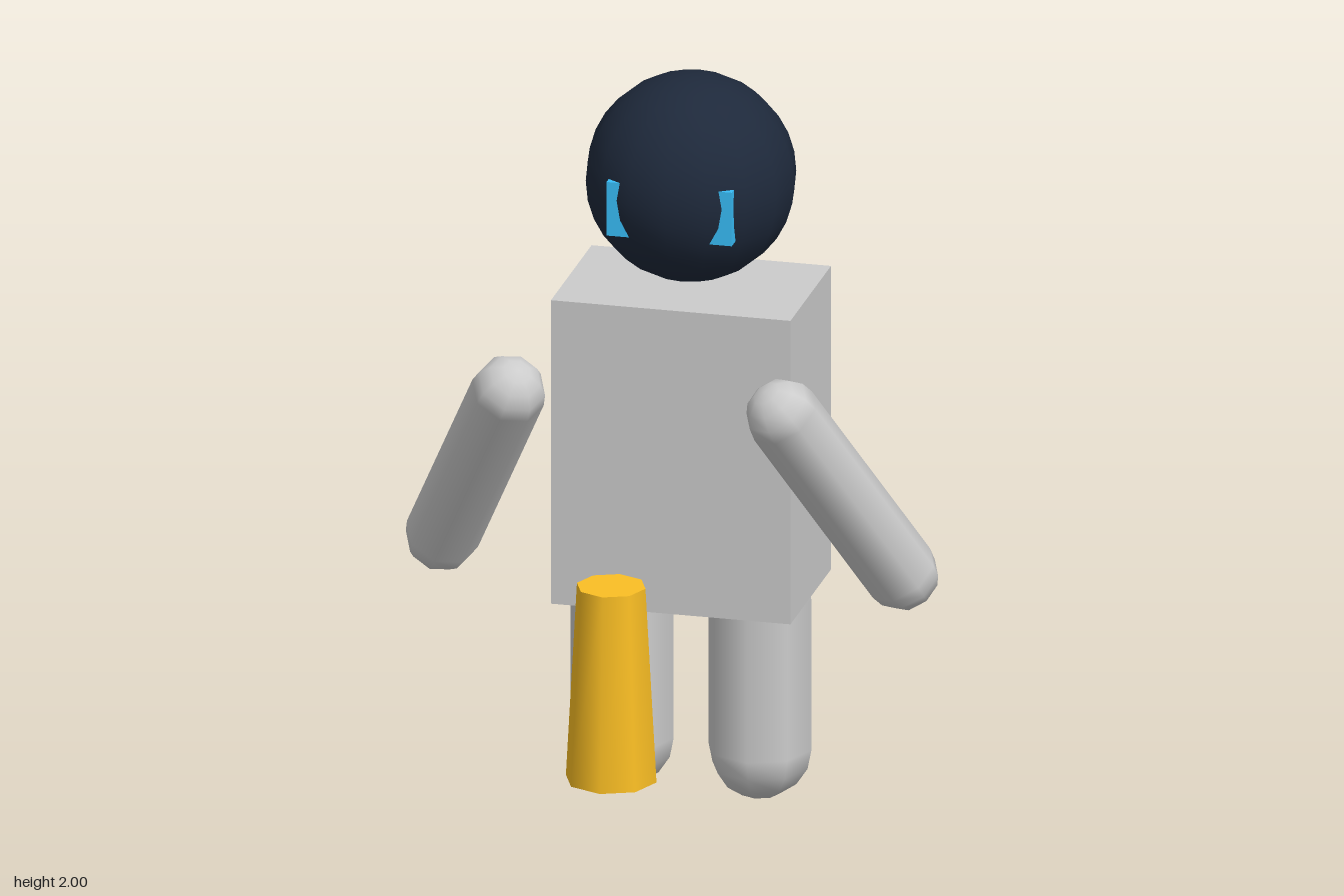
import * as THREE from 'three';

const grey = new THREE.MeshStandardMaterial({ color: 0xcccccc });
const navy = new THREE.MeshStandardMaterial({ color: 0x1e293b });
const blue = new THREE.MeshStandardMaterial({ color: 0x38bdf8 });
const amber = new THREE.MeshStandardMaterial({ color: 0xfbbf24 });

const DEPTH = -0.35; // the figure stands behind the cone

export function createModel() {
  const model = new THREE.Group();
  model.name = 'figureWithCone';

  const add = (name, geometry, material, x, y, z) => {
    const mesh = new THREE.Mesh(geometry, material);
    mesh.name = name;
    mesh.position.set(x, y, z);
    model.add(mesh);
    return mesh;
  };

  // Head with a visor whose middle is buried in the sphere
  add('head', new THREE.SphereGeometry(0.28, 16, 16), navy, 0, 1.72, DEPTH);
  add('visor', new THREE.BoxGeometry(0.34, 0.15, 0.07), blue, 0, 1.695, -0.15);

  // Torso
  add('torso', new THREE.BoxGeometry(0.65, 0.85, 0.436), grey, 0, 0.994, DEPTH);

  // Legs and arms, mirrored left and right
  const legShape = new THREE.CapsuleGeometry(0.14, 0.42, 4, 8);
  const armShape = new THREE.CapsuleGeometry(0.1, 0.64, 4, 8);
  for (const [side, s] of [['left', 1], ['right', -1]]) {
    add(side + 'Leg', legShape, grey, s * 0.187, 0.35, DEPTH);
    const arm = add(side + 'Arm', armShape, grey, s * 0.498, 0.993, -0.005);
    arm.rotation.set(0.5, 0, s * 0.4);
  }

  // Tapered cone in front
  add('cone', new THREE.CylinderGeometry(0.093, 0.123, 0.54, 8), amber, 0, 0.604, 0.507);

  return model;
}
